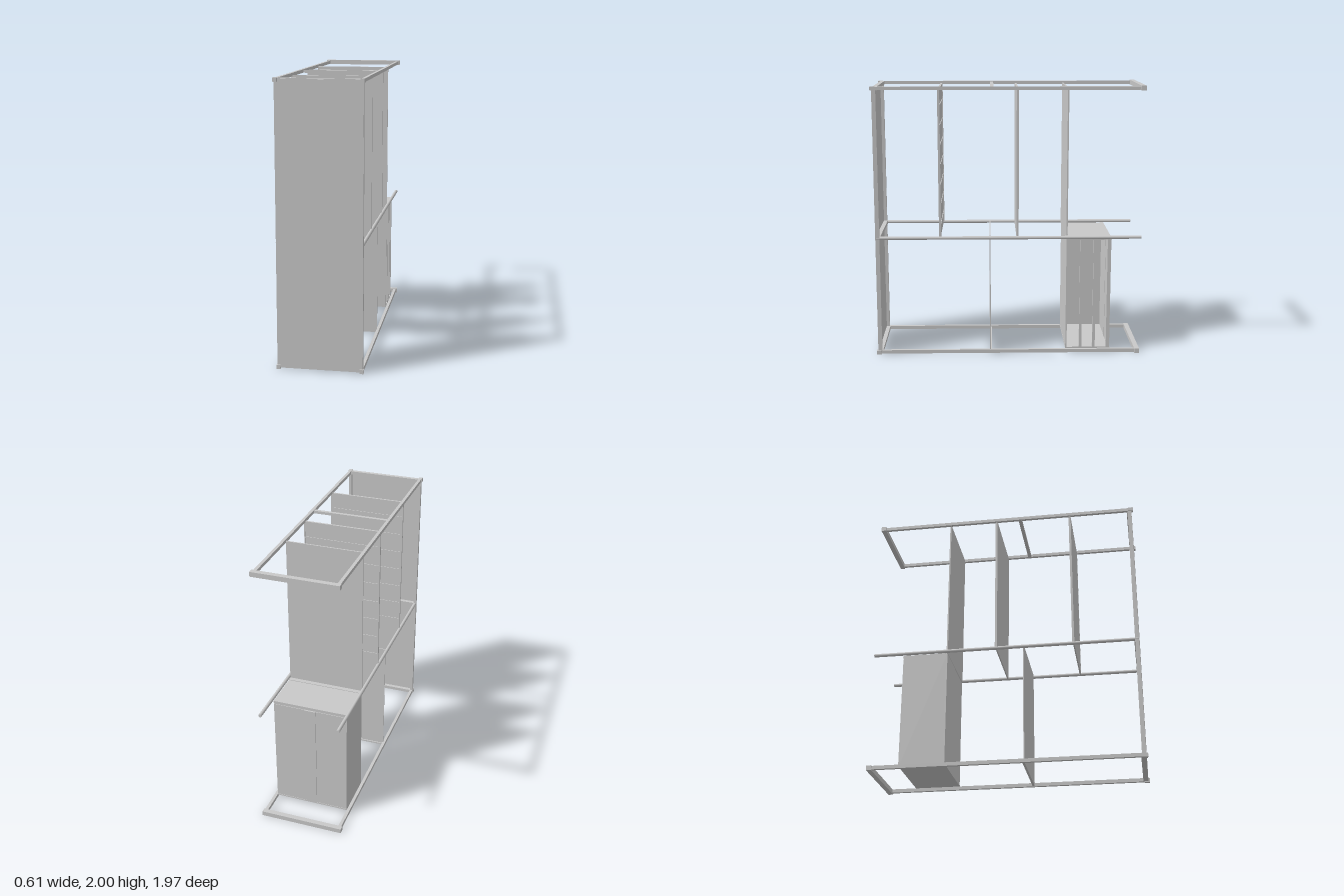
import * as THREE from 'three';

export function createModel() {
  const root = new THREE.Group();
  root.name = 'displayRack';
  const grey = new THREE.MeshStandardMaterial({ color: 0xc8c8c8 });
  grey.name = 'light grey metal';

  // Box given by its min and max on each axis
  function box(name, x0, x1, y0, y1, z0, z1, parent = root) {
    const mesh = new THREE.Mesh(new THREE.BoxGeometry(x1 - x0, y1 - y0, z1 - z0), grey);
    mesh.position.set((x0 + x1) / 2, (y0 + y1) / 2, (z0 + z1) / 2);
    mesh.name = name;
    parent.add(mesh);
  }

  // Long side rails and front posts, mirrored left and right
  for (const s of [-1, 1]) {
    const side = s > 0 ? 'left' : 'right';
    const a = s * 0.286 - 0.011;
    const b = s * 0.286 + 0.011;
    box(side + 'TopRail', a, b, 1.97, 1.994, -0.95, 0.985);
    box(side + 'BottomRail', a, b, 0.008, 0.034, -0.95, 0.985);
    const mid = new THREE.Mesh(new THREE.CylinderGeometry(0.0125, 0.0125, 1.945, 12), grey);
    mid.rotation.x = Math.PI / 2;
    mid.position.set(s * 0.286, 0.892, -0.005);
    mid.name = side + 'MiddleRail';
    root.add(mid);
    box(side + 'FrontPost', a, b, 0.03, 1.975, 0.943, 0.969);
    // Small corner blocks at the front rail ends
    for (const y of [0.004, 1.968]) {
      box(side + 'CornerBlock', s * 0.288 - 0.014, s * 0.288 + 0.014, y, y + 0.028, 0.948, 0.982);
    }
  }

  // Front sheet and the cross bars behind it
  box('frontPanel', -0.296, 0.296, 0.012, 1.988, 0.967, 0.973);
  for (const y of [0.01, 0.88, 1.968]) {
    box('frontCrossBar', -0.28, 0.28, y, y + 0.025, 0.937, 0.967);
  }

  // Back cross bars, top and bottom
  for (const y of [0, 1.964]) {
    box('backCrossBar', -0.305, 0.305, y + 0.002, y + 0.036, -0.982, -0.946);
  }

  // Upper shelf dividers with edge stiles, and battens on their back faces
  for (const z of [0.5, -0.067]) {
    const divider = new THREE.Group();
    divider.name = 'battenedDivider';
    root.add(divider);
    box('dividerSheet', -0.283, 0.283, 0.887, 1.968, z - 0.002, z + 0.007, divider);
    box('dividerTopBar', -0.287, 0.287, 1.963, 1.978, z - 0.007, z + 0.007, divider);
    for (const x of [-0.28, 0.28]) {
      box('dividerStile', x - 0.005, x + 0.005, 0.885, 1.965, z - 0.008, z + 0.008, divider);
    }
    for (let i = 0; i < 7; i++) {
      const y = 0.98 + i * 0.145;
      box('batten', -0.275, 0.275, y, y + 0.01, z - 0.007, z - 0.001, divider);
    }
  }
  box('plainDivider', -0.277, 0.277, 0.88, 1.98, -0.435, -0.425);
  box('topCrossBar', -0.28, 0.28, 1.968, 1.988, 0.105, 0.13);

  // Lower divider
  box('lowerDivider', -0.28, 0.28, 0.012, 0.908, 0.131, 0.138);
  box('lowerDividerFoot', -0.28, 0.28, 0.012, 0.024, 0.122, 0.138);

  // Cabinet with one open, barred side
  const cabinet = new THREE.Group();
  cabinet.name = 'cabinet';
  root.add(cabinet);
  const w = 0.274;
  box('cabinetTop', -w, w, 0.87, 0.882, -0.762, -0.427, cabinet);
  box('cabinetBottom', -w, w, 0.033, 0.043, -0.762, -0.427, cabinet);
  box('cabinetFront', -w, w, 0.04, 0.872, -0.438, -0.428, cabinet);
  box('cabinetRightSide', -w, -w + 0.008, 0.04, 0.872, -0.75, -0.432, cabinet);
  box('cabinetTopBar', -w, w, 0.88, 0.886, -0.472, -0.446, cabinet);
  for (const z of [-0.54, -0.64]) {
    box('sideBar', w - 0.02, w, 0.04, 0.872, z - 0.01, z + 0.01, cabinet);
  }
  box('backCornerPost', w - 0.015, w, 0.04, 0.872, -0.75, -0.733, cabinet);

  // Two back doors with a raised strip over the gap between them
  box('rightDoor', -w, -0.03, 0.043, 0.855, -0.759, -0.747, cabinet);
  box('leftDoor', 0.03, w, 0.043, 0.855, -0.759, -0.747, cabinet);
  box('doorStrip', -0.042, 0.042, 0.043, 0.855, -0.766, -0.745, cabinet);
  box('doorHeader', -w, w, 0.858, 0.872, -0.759, -0.747, cabinet);

  return root;
}
